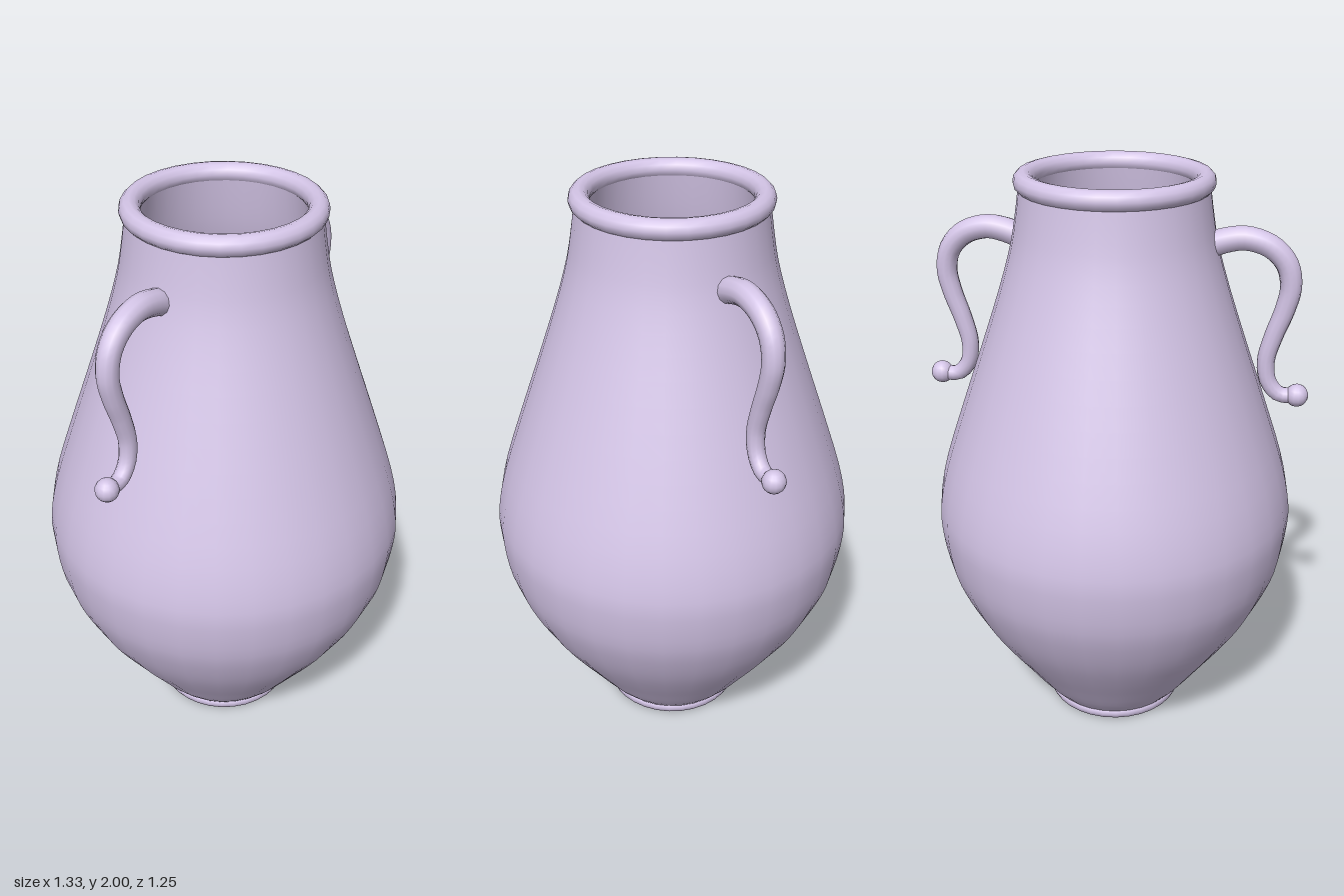
import * as THREE from 'three';

const SIDES = 32;
const material = new THREE.MeshStandardMaterial({ color: 0xd3c4e6 });
const v2 = ([x, y]) => new THREE.Vector2(x, y);

function addMesh(parent, name, geometry) {
  const mesh = new THREE.Mesh(geometry, material);
  mesh.name = name;
  parent.add(mesh);
  return mesh;
}

// Tube that narrows from r0 to r1 along a curve
function taperedTube(curve, steps, sides, r0, r1) {
  const geo = new THREE.TubeGeometry(curve, steps, 1, sides);
  const pos = geo.attributes.position;
  const p = new THREE.Vector3();
  for (let i = 0; i <= steps; i++) {
    const c = curve.getPointAt(i / steps);
    const r = THREE.MathUtils.lerp(r0, r1, i / steps);
    for (let j = 0; j <= sides; j++) {
      const k = i * (sides + 1) + j;
      p.fromBufferAttribute(pos, k).sub(c).multiplyScalar(r).add(c);
      pos.setXYZ(k, p.x, p.y, p.z);
    }
  }
  return geo;
}

export function createModel() {
  const vase = new THREE.Group();
  vase.name = 'vase';

  // Outer wall: narrow foot, full belly, tapering neck
  const wall = new THREE.SplineCurve([
    [0.25, 0.04], [0.3, 0.1], [0.37, 0.2], [0.44, 0.3], [0.51, 0.41], [0.565, 0.52],
    [0.605, 0.63], [0.625, 0.76], [0.623, 0.86], [0.592, 1.0], [0.525, 1.2],
    [0.455, 1.4], [0.387, 1.6], [0.343, 1.75], [0.322, 1.86], [0.308, 1.96],
  ].map(v2)).getPoints(40);
  addMesh(vase, 'body', new THREE.LatheGeometry(wall, SIDES));

  // Inner wall and floor, offset from the outer wall
  const inner = wall.filter((p) => p.y > 0.08).reverse()
    .map((p) => new THREE.Vector2(p.x - 0.045, p.y));
  inner.push(new THREE.Vector2(0.2, 0.06), new THREE.Vector2(0.08, 0.05), new THREE.Vector2(0, 0.05));
  addMesh(vase, 'interior', new THREE.LatheGeometry(inner, SIDES));

  // Low foot ring with a flat underside
  const foot = [[0.232, 0], [0.245, 0.006], [0.251, 0.02], [0.25, 0.034], [0.24, 0.045]].map(v2);
  addMesh(vase, 'foot', new THREE.LatheGeometry(foot, SIDES));
  const base = addMesh(vase, 'underside', new THREE.CircleGeometry(0.232, SIDES));
  base.rotation.x = Math.PI / 2;

  // Rolled lip
  const rim = addMesh(vase, 'rim', new THREE.TorusGeometry(0.292, 0.034, 12, SIDES));
  rim.rotation.x = Math.PI / 2;
  rim.position.y = 1.966;

  // S-shaped handles ending in small knobs
  for (const side of [1, -1]) {
    const handle = new THREE.Group();
    handle.name = side > 0 ? 'leftHandle' : 'rightHandle';
    const points = [
      [0.305, 1.765], [0.36, 1.785], [0.43, 1.795], [0.51, 1.77], [0.563, 1.715],
      [0.58, 1.64], [0.565, 1.56], [0.535, 1.47], [0.514, 1.38], [0.525, 1.305],
      [0.563, 1.262], [0.62, 1.258],
    ];
    const path = new THREE.CatmullRomCurve3(
      points.map(([x, y], i) => new THREE.Vector3(side * x, y, 0.012 * i / (points.length - 1))));
    addMesh(handle, 'handleStem', taperedTube(path, 40, 12, 0.043, 0.026));
    const knob = addMesh(handle, 'handleKnob', new THREE.SphereGeometry(0.039, 14, 10));
    knob.position.set(side * 0.624, 1.26, 0.012);
    vase.add(handle);
  }

  return vase;
}
